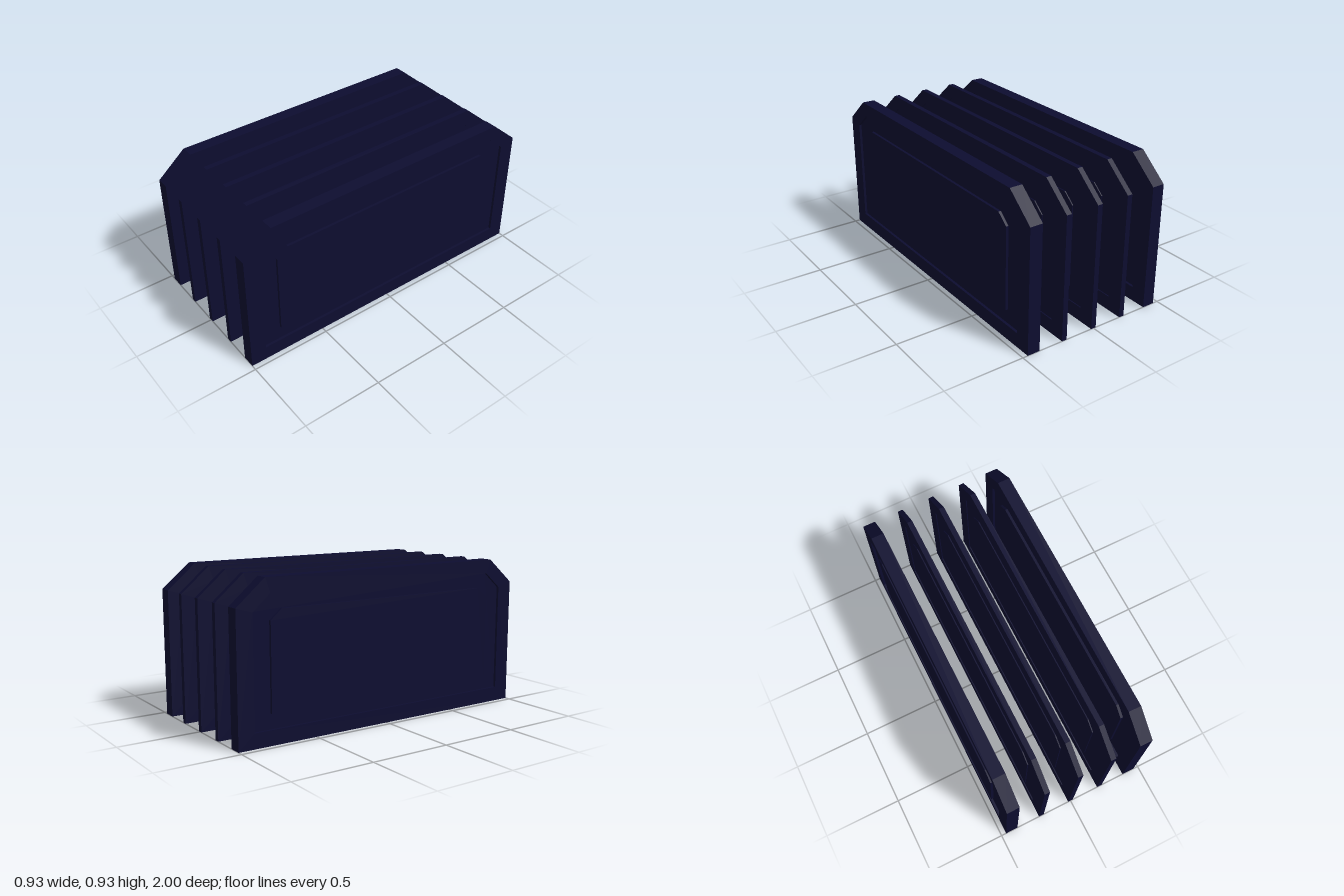
import * as THREE from 'three';

// Symmetric plate outline: half length, bottom, top, and the size of the two cut upper corners
function outline(PathType, half, bottom, top, cutX, cutY) {
  const p = new PathType();
  p.moveTo(-half, bottom);
  p.lineTo(half, bottom);
  p.lineTo(half, top - cutY);
  p.lineTo(half - cutX, top);
  p.lineTo(-half + cutX, top);
  p.lineTo(-half, top - cutY);
  p.closePath();
  return p;
}

// Extrude a side profile into a slab centred on x = 0, running along z
function slab(name, shape, thickness, material) {
  const geometry = new THREE.ExtrudeGeometry(shape, { depth: thickness, bevelEnabled: false });
  geometry.translate(0, 0, -thickness / 2);
  geometry.rotateY(Math.PI / 2);
  const mesh = new THREE.Mesh(geometry, material);
  mesh.name = name;
  return mesh;
}

export function createModel() {
  const model = new THREE.Group();
  model.name = 'plateRow';
  const navy = new THREE.MeshStandardMaterial({ color: 0x0d0d30 });
  navy.name = 'dark navy';

  const groove = [0.9, 0.09, 0.845, 0.11, 0.095];
  const panel = [0.79, 0.18, 0.757, 0.07, 0.06];

  // A plate with a groove around a raised panel on both faces
  function plate(name, x, thickness) {
    const group = new THREE.Group();
    group.name = name;
    const rim = outline(THREE.Shape, 1, 0, 0.932, 0.18, 0.152);
    rim.holes.push(outline(THREE.Path, ...groove));
    group.add(slab('rim', rim, thickness, navy));
    group.add(slab('grooveFloor', outline(THREE.Shape, ...groove), thickness * 0.6, navy));
    group.add(slab('raisedPanel', outline(THREE.Shape, ...panel), thickness, navy));
    group.position.x = x;
    model.add(group);
  }

  // Thick outer plates and three thin dividers between them
  plate('rightEndPlate', -0.427, 0.08);
  plate('leftEndPlate', 0.427, 0.08);
  [-0.213, 0, 0.213].forEach((x, i) => plate('divider' + (i + 1), x, 0.033));

  return model;
}
